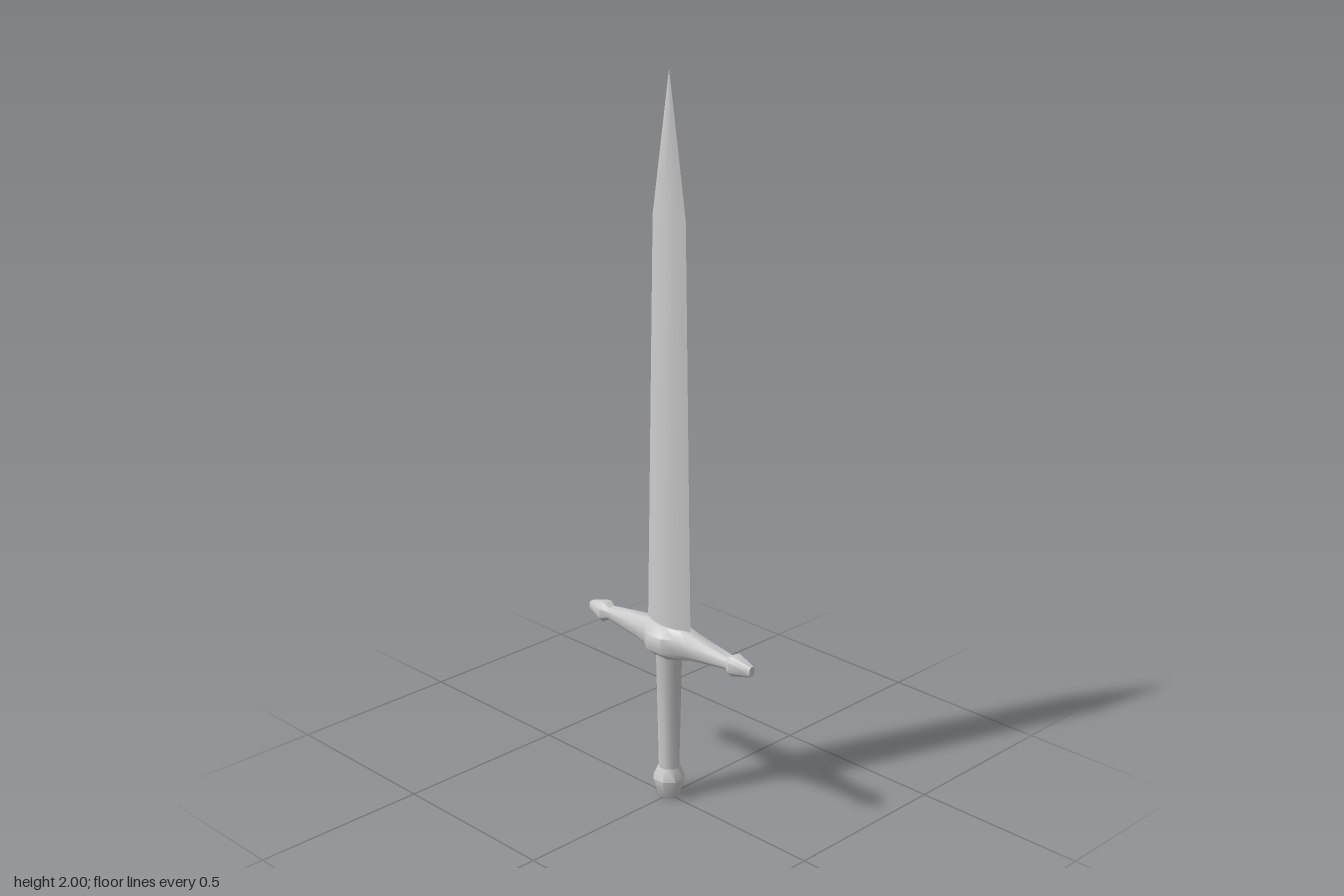
import * as THREE from 'three';
import { toCreasedNormals } from 'three/addons/utils/BufferGeometryUtils.js';

const material = new THREE.MeshStandardMaterial({ color: 0xcccccc });

// Skins a list of equal-sized rings of [x, y, z] points and caps both ends.
function loft(name, rings, crease) {
  const n = rings[0].length;
  const points = rings.flat();
  const index = [];
  for (let r = 0; r < rings.length - 1; r++) {
    for (let j = 0; j < n; j++) {
      const a = r * n + j, b = r * n + (j + 1) % n;
      index.push(a, a + n, b, b, a + n, b + n);
    }
  }
  const last = (rings.length - 1) * n;
  for (let j = 1; j < n - 1; j++) {
    index.push(0, j, j + 1, last, last + j + 1, last + j);
  }
  const geometry = new THREE.BufferGeometry();
  geometry.setAttribute('position', new THREE.Float32BufferAttribute(points.flat(), 3));
  geometry.setIndex(index);
  const mesh = new THREE.Mesh(toCreasedNormals(geometry, crease), material);
  mesh.name = name;
  return mesh;
}

// Blade: sharp-edged lens section, tapering gently and then to a point.
function createBlade() {
  const section = [[1, 0], [0.72, 0.55], [0, 1], [-0.72, 0.55], [-1, 0], [-0.72, -0.55], [0, -1], [0.72, -0.55]];
  // [height, half thickness, half width]
  const rows = [[0.49, 0.028, 0.081], [1.63, 0.019, 0.059], [1.84, 0.014, 0.026], [2, 0.0005, 0.0005]];
  return loft('blade', rows.map(([y, t, w]) => section.map(([x, z]) => [x * t, y, z * w])), 0.75);
}

// Crossguard: chamfered section swept along z, with a swollen middle and knobbed ends.
function createGuard() {
  // [distance along z, half width, bottom, top]
  const half = [
    [0.024, 0.058, 0.43, 0.52],
    [0.063, 0.036, 0.437, 0.52],
    [0.1, 0.032, 0.447, 0.512],
    [0.225, 0.018, 0.461, 0.496],
    [0.245, 0.028, 0.45, 0.506],
    [0.295, 0.013, 0.461, 0.494],
    [0.305, 0.01, 0.464, 0.491],
  ];
  const rows = [...half.map(([z, ...rest]) => [-z, ...rest]).reverse(), ...half];
  const section = [[1, 0.5], [0.55, 1], [-0.55, 1], [-1, 0.5], [-1, -0.5], [-0.55, -1], [0.55, -1], [1, -0.5]];
  const rings = rows.map(([z, w, low, high]) => section.map(([x, y]) =>
    [x * w, (low + high) / 2 - y * (high - low) / 2, z]));
  return loft('crossguard', rings, 0.9);
}

// Grip and pommel: one turned eight-sided profile each.
function createTurned(name, profile) {
  const points = profile.map(([r, y]) => new THREE.Vector2(r, y));
  const geometry = new THREE.LatheGeometry(points, 8, Math.PI / 8);
  const mesh = new THREE.Mesh(toCreasedNormals(geometry, 0.9), material);
  mesh.name = name;
  return mesh;
}

export function createModel() {
  const model = new THREE.Group();
  model.name = 'sword';
  model.add(
    createBlade(),
    createGuard(),
    createTurned('grip', [[0.03, 0.08], [0.038, 0.43], [0.042, 0.45]]),
    createTurned('pommel', [[0, 0], [0.026, 0], [0.031, 0.008], [0.046, 0.058], [0.03, 0.092]]),
  );
  return model;
}
